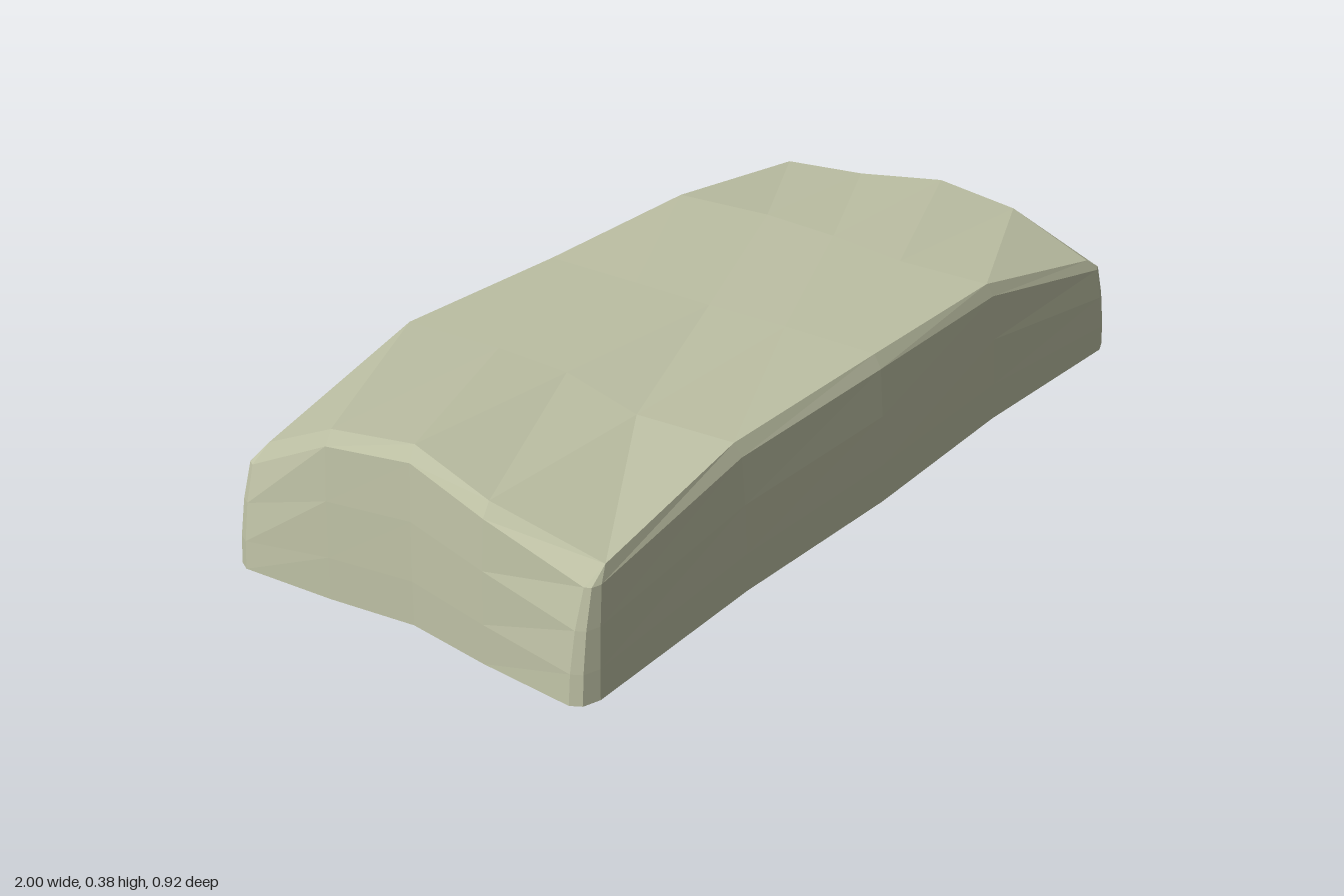
import * as THREE from 'three';

// Rim and crown of the slab: rows run back to front, columns run from -x to +x
const rows = [
  { x: [-0.91, -0.47, 0, 0.48, 0.93], z: [-0.42, -0.44, -0.44, -0.44, -0.435], y: [0.25, 0.348, 0.335, 0.335, 0.285] },
  { x: [-0.95, -0.46, 0, 0.5, 0.90], z: [-0.2, -0.2, -0.2, -0.2, -0.2], y: [0.362, 0.35, 0.336, 0.335, 0.315] },
  { x: [-0.92, -0.47, 0, 0.48, 0.95], z: [-0.01, -0.01, 0, 0, 0], y: [0.375, 0.352, 0.335, 0.337, 0.328] },
  { x: [-0.95, -0.51, 0, 0.45, 0.94], z: [0.2, 0.2, 0.2, 0.2, 0.21], y: [0.335, 0.335, 0.338, 0.335, 0.307] },
  { x: [-0.91, -0.48, 0, 0.46, 0.90], z: [0.44, 0.415, 0.425, 0.42, 0.435], y: [0.265, 0.326, 0.337, 0.332, 0.242] },
];
const top = rows.map((r) => r.x.map((x, i) => new THREE.Vector3(x, r.y[i], r.z[i])));

// Footprint depth at five stations of each side
const along = [-0.95, -0.47, 0, 0.48, 0.95];
const across = [-0.42, -0.2, 0, 0.2, 0.42];
const depth = {
  front: [0.455, 0.442, 0.456, 0.442, 0.46],
  right: [1, 0.985, 0.98, 0.987, 1],
  back: [0.46, 0.46, 0.46, 0.46, 0.46],
  left: [1, 0.985, 0.96, 0.985, 1],
};

// Matching base and rim loops, counter-clockwise from above, with rounded corners
function makeLoops() {
  const sides = [
    (s) => [new THREE.Vector3(along[s], 0, depth.front[s]), top[4][s]],
    (s) => [new THREE.Vector3(depth.right[4 - s], 0, across[4 - s]), top[4 - s][4]],
    (s) => [new THREE.Vector3(along[4 - s], 0, -depth.back[4 - s]), top[0][4 - s]],
    (s) => [new THREE.Vector3(-depth.left[s], 0, across[s]), top[s][0]],
  ];
  const base = [], rim = [];
  sides.forEach((side, k) => {
    for (let s = 0; s < 5; s++) {
      const [b, r] = side(s);
      base.push(b);
      rim.push(r);
    }
    const end = side(4), next = sides[(k + 1) % 4](0);
    base.push(end[0].clone().lerp(next[0], 0.5).multiplyScalar(1.012));
    rim.push(end[1]);
  });
  return { base, rim };
}

function makeGeometry(quads) {
  const positions = [];
  const triangle = (a, b, c) => {
    const area = b.clone().sub(a).cross(c.clone().sub(a)).length();
    if (area > 1e-7) [a, b, c].forEach((p) => positions.push(p.x, p.y, p.z));
  };
  quads.forEach(([a, b, c, d]) => {
    triangle(a, b, c);
    triangle(a, c, d);
  });
  const geometry = new THREE.BufferGeometry();
  geometry.setAttribute('position', new THREE.Float32BufferAttribute(positions, 3));
  geometry.computeVertexNormals();
  return geometry;
}

export function createModel() {
  const group = new THREE.Group();
  group.name = 'stoneSlab';
  const stone = new THREE.MeshStandardMaterial({ color: 0xbdc0a4 });
  stone.name = 'paleStone';

  const add = (name, quads) => {
    const mesh = new THREE.Mesh(makeGeometry(quads), stone);
    mesh.name = name;
    group.add(mesh);
  };

  const { base, rim } = makeLoops();
  const count = base.length;
  // A wall loop at a share of the shoulder height, drawn inward toward the rim
  const loop = (height, inset) => base.map((b, i) => {
    const p = b.clone().lerp(rim[i], inset);
    p.y = (rim[i].y - 0.03) * height;
    return p;
  });
  const band = (lower, upper) => lower.map((p, i) => {
    const n = (i + 1) % count;
    return [p, lower[n], upper[n], upper[i]];
  });

  // Sides lean in slightly toward the shoulder
  const shoulder = loop(1, 0.45);
  const loops = [base, loop(0.28, 0.05), loop(0.65, 0.2), shoulder];
  add('sides', loops.slice(1).flatMap((upper, i) => band(loops[i], upper)));

  // Bevel between the sides and the crown
  add('bevel', band(shoulder, rim));

  // Uneven crown
  const crown = [];
  for (let j = 0; j < 4; j++) {
    for (let i = 0; i < 4; i++) {
      crown.push([top[j + 1][i], top[j + 1][i + 1], top[j][i + 1], top[j][i]]);
    }
  }
  add('crown', crown);

  // Flat underside
  const centre = new THREE.Vector3();
  add('underside', base.map((p, i) => [centre, base[(i + 1) % count], p, centre]));

  return group;
}
